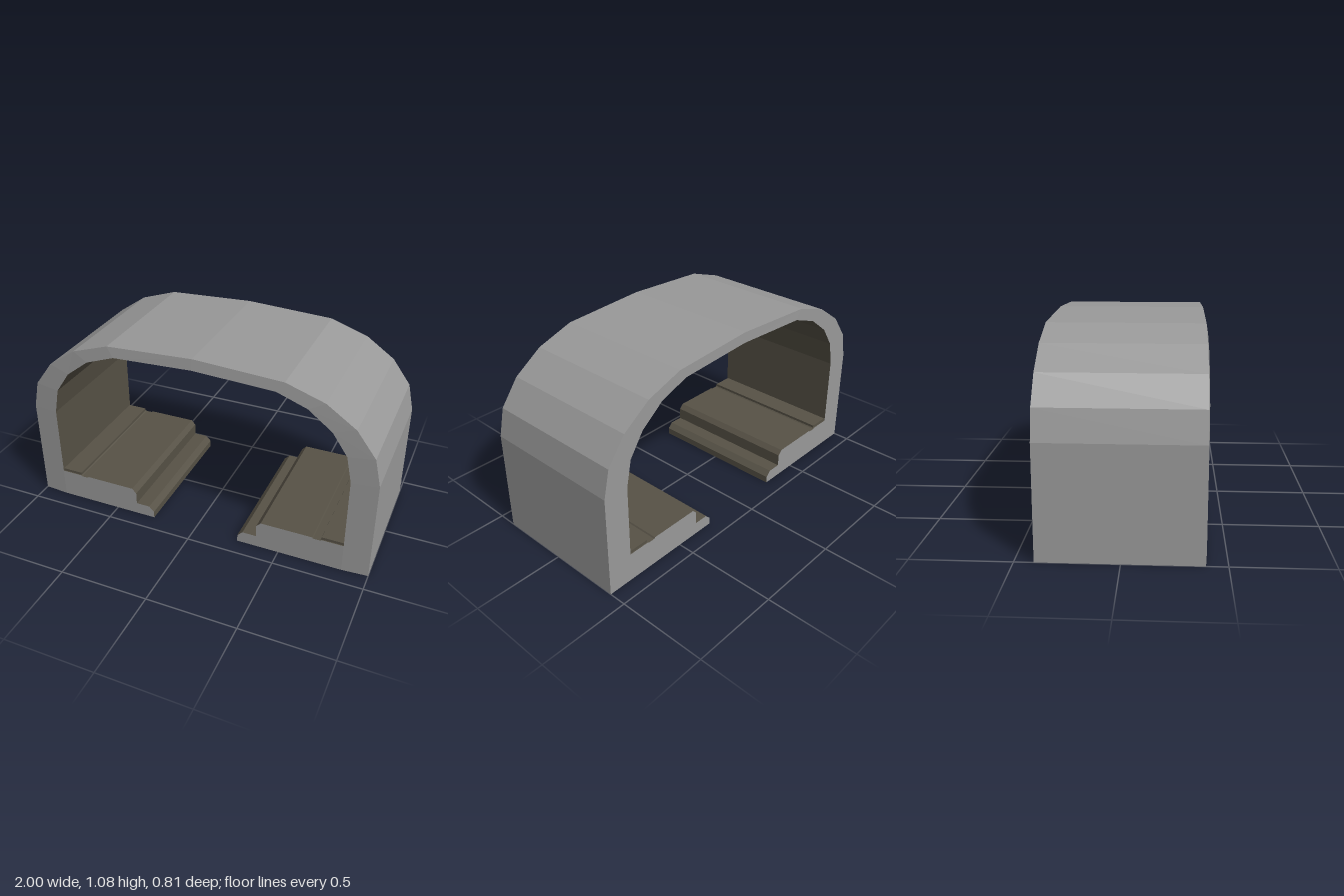
import * as THREE from 'three';

const FRONT = 0.405, FRONT_OUTER = 0.395, BACK = -0.405;

// Right halves of the cross-section, listed from the foot up to the crown
const OUTER = [[1, 0], [1, 0.58], [0.965, 0.735], [0.86, 0.875], [0.7, 0.985], [0.49, 1.055], [0, 1.08]];
const INNER = [[0.857, 0], [0.857, 0.575], [0.827, 0.72], [0.745, 0.84], [0.615, 0.94], [0.45, 1.0], [0, 1.02]];

// Stepped sill, from the slot edge out to the wall
const SILL = [[0.26, 0], [0.26, 0.04], [0.29, 0.07], [0.37, 0.07], [0.37, 0.14], [0.395, 0.167],
  [0.685, 0.167], [0.69, 0.16], [0.73, 0.16], [0.735, 0.165], [0.857, 0.165]];

const flip = (pts) => pts.map(([x, y]) => [-x, y]);
const arch = (half) => [...flip(half), ...half.slice(0, -1).reverse()];
const atZ = (pts, z) => pts.map(([x, y]) => [x, y, z]);
const atBack = (pts) => pts.map(([x, y]) => [x, y, x === 0 ? -0.4 : BACK]);

// Flat-faced strip of quads between two matching polylines
function ribbon(a, b) {
  const pos = [];
  for (let i = 0; i < a.length - 1; i++) {
    pos.push(...a[i], ...a[i + 1], ...b[i + 1], ...a[i], ...b[i + 1], ...b[i]);
  }
  const g = new THREE.BufferGeometry();
  g.setAttribute('position', new THREE.Float32BufferAttribute(pos, 3));
  g.computeVertexNormals();
  return g;
}

const flatCap = (pts) => new THREE.ShapeGeometry(new THREE.Shape(pts.map(([x, y]) => new THREE.Vector2(x, y))));

export function createModel() {
  const shellGrey = new THREE.MeshStandardMaterial({ color: 0x999999 });
  shellGrey.name = 'shellGrey';
  const liningBrown = new THREE.MeshStandardMaterial({ color: 0x575246 });
  liningBrown.name = 'liningBrown';

  const model = new THREE.Group();
  model.name = 'archedRail';
  const add = (name, geometry, material) => {
    const mesh = new THREE.Mesh(geometry, material);
    mesh.name = name;
    model.add(mesh);
    return mesh;
  };

  // Arch: outer skin, dark lining and the two end rims (front rim slightly bevelled)
  const outer = arch(OUTER), inner = arch(INNER);
  const outerFront = atZ(outer, FRONT_OUTER), innerFront = atZ(inner, FRONT);
  const outerBack = atBack(outer), innerBack = atBack(inner);
  add('outerSkin', ribbon(outerFront, outerBack), shellGrey);
  add('innerLining', ribbon(innerBack, innerFront), liningBrown);
  add('frontRim', ribbon(innerFront, outerFront), shellGrey);
  add('backRim', ribbon(outerBack, innerBack), shellGrey);

  for (const s of [1, -1]) {
    const side = s > 0 ? 'left' : 'right';
    const profile = s > 0 ? SILL : flip(SILL).reverse();

    // Stepped floor surface
    add(side + 'SillTop', ribbon(atZ(profile, FRONT), atZ(profile, BACK)), liningBrown);

    // Sill end faces
    const outline = [...SILL, [0.857, 0]];
    add(side + 'SillFront', flatCap(s > 0 ? outline : flip(outline)), shellGrey).position.z = FRONT;
    const back = add(side + 'SillBack', flatCap(s > 0 ? flip(outline) : outline), shellGrey);
    back.rotation.y = Math.PI;
    back.position.z = BACK;

    // Underside
    const base = [[0.26, 0, FRONT], [0.857, 0, FRONT], [1, 0, FRONT_OUTER]];
    const front = s > 0 ? base : base.map(([x, y, z]) => [-x, y, z]).reverse();
    add(side + 'Underside', ribbon(front.map(([x, y]) => [x, y, BACK]), front), shellGrey);

    // Raised strip beside the wall
    const strip = add(side + 'FloorStrip', new THREE.BoxGeometry(0.12, 0.016, 0.8), liningBrown);
    strip.position.set(s * 0.796, 0.172, 0);
  }
  return model;
}
